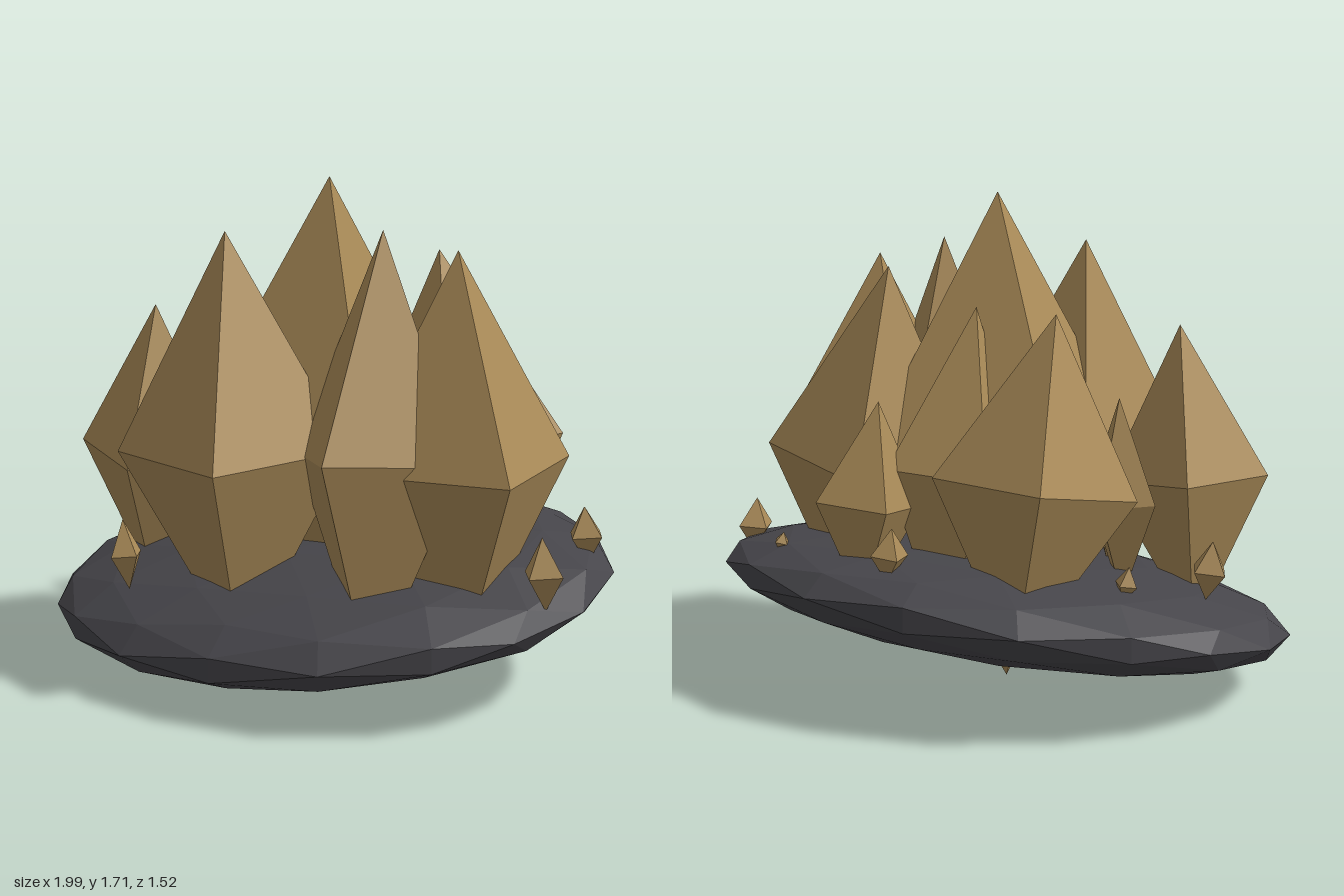
import * as THREE from 'three';

export function createModel() {
  const model = new THREE.Group();
  model.name = 'crystalCluster';

  const stone = new THREE.MeshStandardMaterial({ color: 0x46454a, flatShading: true });
  stone.name = 'charcoalStone';
  const amber = new THREE.MeshStandardMaterial({ color: 0xaa8b58, flatShading: true });
  amber.name = 'amberCrystal';

  // Flattened, tilted base rock: y rises towards +x and -z
  const rockShape = new THREE.IcosahedronGeometry(1, 2);
  rockShape.applyMatrix4(new THREE.Matrix4().set(
    1.015, 0, 0, 0,
    0.08, 0.205, -0.108, 0.31,
    -0.06, 0, 0.775, 0,
    0, 0, 0, 1));
  rockShape.computeVertexNormals();
  const rock = new THREE.Mesh(rockShape, stone);
  rock.name = 'baseRock';
  model.add(rock);

  // Leaning octahedron from its centre, top point and one waist corner (x, z)
  function addCrystal(name, centre, apex, corner) {
    const c = new THREE.Vector3(...centre);
    const axis = new THREE.Vector3(...apex).sub(c);
    const u = new THREE.Vector3(corner[0] - c.x, 0, corner[1] - c.z);
    u.y = -(u.x * axis.x + u.z * axis.z) / axis.y;
    const w = u.clone().cross(axis).setLength(u.length());
    const geometry = new THREE.OctahedronGeometry(1);
    geometry.applyMatrix4(new THREE.Matrix4().makeBasis(u, axis, w).setPosition(c));
    geometry.computeVertexNormals();
    const mesh = new THREE.Mesh(geometry, amber);
    mesh.name = name;
    model.add(mesh);
  }

  // Large crystals
  addCrystal('mainCrystal', [0, 0.865, 0], [0.035, 1.72, 0.04], [-0.345, 0.345]);
  addCrystal('frontCrystal', [-0.15, 0.82, 0.37], [-0.17, 1.55, 0.37], [-0.51, 0.53]);
  addCrystal('frontLeftCrystal', [0.345, 0.83, 0.285], [0.32, 1.56, 0.2], [0.32, 0.6]);
  addCrystal('leftCrystal', [0.58, 0.81, 0.15], [0.555, 1.5, 0.14], [0.86, 0.42]);
  addCrystal('backLeftCrystal', [0.42, 0.805, -0.19], [0.33, 1.47, -0.21], [0.76, -0.32]);
  addCrystal('backRightCrystal', [-0.27, 0.77, -0.35], [-0.3, 1.33, -0.25], [-0.41, -0.65]);
  addCrystal('rightCrystal', [-0.625, 0.74, 0.17], [-0.58, 1.27, 0.2], [-0.89, 0.25]);

  // Medium crystals between the large ones
  addCrystal('backCrystal', [0.04, 0.78, -0.27], [0.01, 1.34, -0.19], [0.22, -0.45]);
  addCrystal('smallBackCrystal', [0.27, 0.7, -0.47], [0.25, 1.04, -0.44], [0.4, -0.6]);
  addCrystal('smallRightCrystal', [-0.47, 0.7, -0.08], [-0.47, 1.05, -0.11], [-0.6, -0.11]);

  // Shards scattered round the rim: x, y, z, radius, half height, turn
  const shards = [
    [-0.78, 0.49, -0.08, 0.07, 0.1, 0.5],
    [-0.56, 0.47, -0.28, 0.04, 0.06, 0.2],
    [0.13, 0.57, -0.6, 0.065, 0.09, 0.7],
    [0.61, 0.54, -0.485, 0.028, 0.035, 0.3],
    [0.885, 0.52, -0.235, 0.07, 0.1, 0.4],
    [0.895, 0.505, 0.2, 0.075, 0.12, 0.3],
    [-0.41, 0.49, 0.63, 0.06, 0.12, 0.3],
    [-0.46, 0.47, 0.56, 0.045, 0.06, 0.8],
    [-0.38, 0.52, 0.07, 0.04, 0.07, 0.3],
  ];
  shards.forEach(([x, y, z, r, h, turn], i) => {
    addCrystal('shard' + (i + 1), [x, y, z], [x - 0.01, y + h, z],
      [x + r * Math.cos(turn), z + r * Math.sin(turn)]);
  });

  return model;
}
